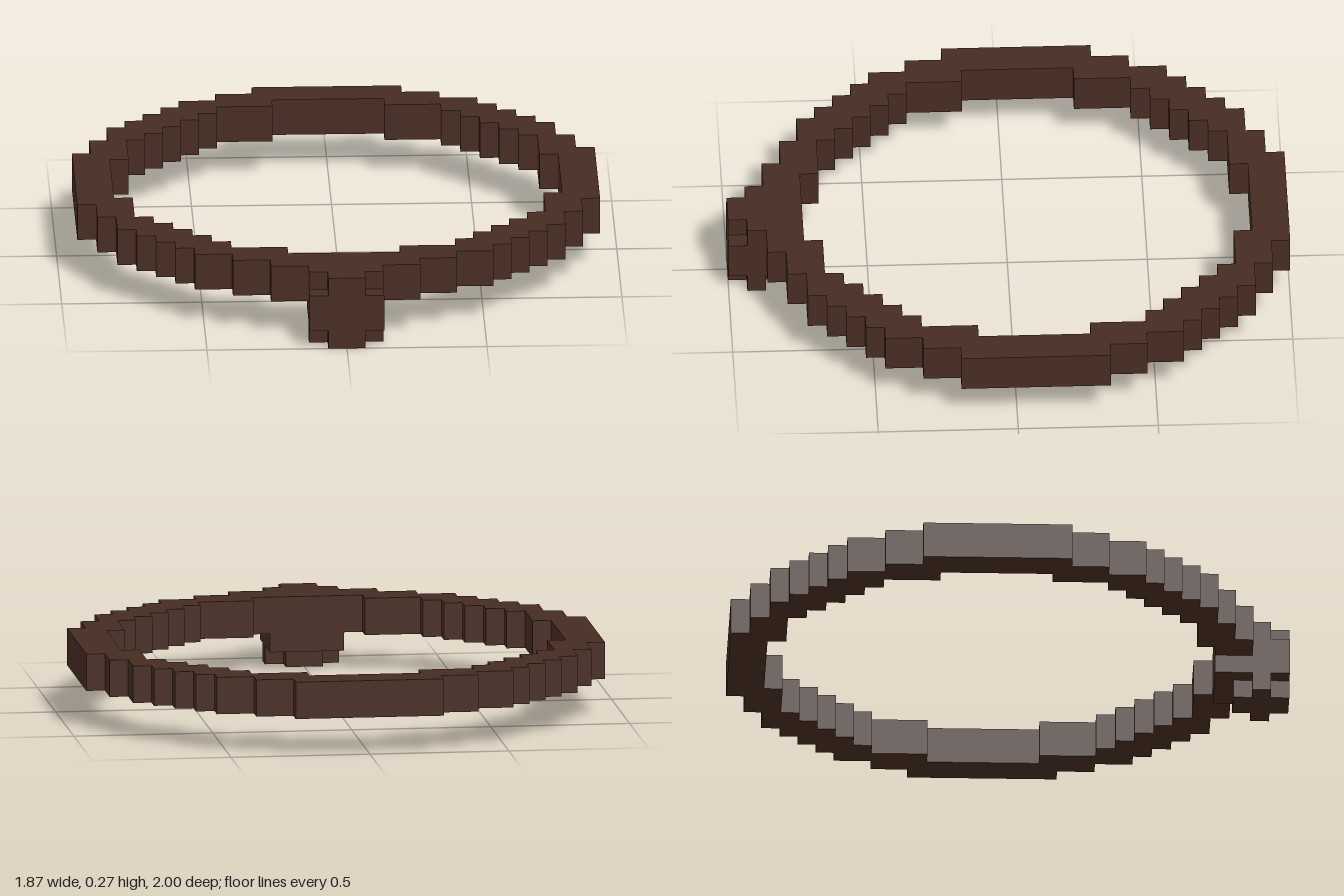
import * as THREE from 'three';

const V = 1 / 15; // one voxel

// Stepped corners [x, z] of one quarter of the ring, in voxels
const OUTER = [[14, 4], [13, 6], [12, 8], [11, 9], [10, 10], [9, 11], [8, 12], [6, 13], [4, 14]];
const INNER = [[12, 3], [11, 6], [10, 7], [9, 8], [8, 9], [7, 10], [6, 11], [3, 12]];

// Mirror a quarter staircase into a closed outline
function steppedOutline(corners) {
  const quarter = [];
  corners.forEach(([x, z], i) => {
    if (i > 0) quarter.push([x, corners[i - 1][1]]);
    quarter.push([x, z]);
  });
  const flip = (sx, sz) => quarter.map(([x, z]) => new THREE.Vector2(x * sx * V, z * sz * V));
  return [...flip(1, 1), ...flip(-1, 1).reverse(), ...flip(-1, -1), ...flip(1, -1).reverse()];
}

export function createModel() {
  const model = new THREE.Group();
  model.name = 'collar';
  const leather = new THREE.MeshStandardMaterial({ color: 0x472c22 });
  leather.name = 'dark brown';

  // Ring: two voxels tall, centred one voxel behind the origin
  const shape = new THREE.Shape(steppedOutline(OUTER));
  shape.holes.push(new THREE.Path(steppedOutline(INNER)));
  const ringGeometry = new THREE.ExtrudeGeometry(shape, { depth: 2 * V, bevelEnabled: false });
  ringGeometry.rotateX(-Math.PI / 2).translate(0, 2 * V, -V);
  const ring = new THREE.Mesh(ringGeometry, leather);
  ring.name = 'ring';
  model.add(ring);

  // Pendant: a small voxel ball hanging at the front, built in layers
  const pendant = new THREE.Group();
  pendant.name = 'pendant';
  const layer = (name, halfWidth, y0, y1, z0, z1) => {
    const geometry = new THREE.BoxGeometry(2 * halfWidth * V, (y1 - y0) * V, (z1 - z0) * V);
    geometry.translate(0, (y0 + y1) / 2 * V, (z0 + z1) / 2 * V);
    const mesh = new THREE.Mesh(geometry, leather);
    mesh.name = name;
    pendant.add(mesh);
  };
  layer('bottomBack', 1, 0, 1, 12, 13);
  layer('bottomMiddle', 2, 0, 1, 13, 14);
  layer('bottomFront', 1, 0, 1, 14, 15);
  layer('lowerBody', 2, 1, 2, 11, 15);
  layer('upperBody', 2, 2, 3, 13, 15);
  layer('topMiddle', 2, 3, 4, 13, 14);
  layer('topFront', 1, 3, 4, 14, 15);
  model.add(pendant);

  return model;
}
